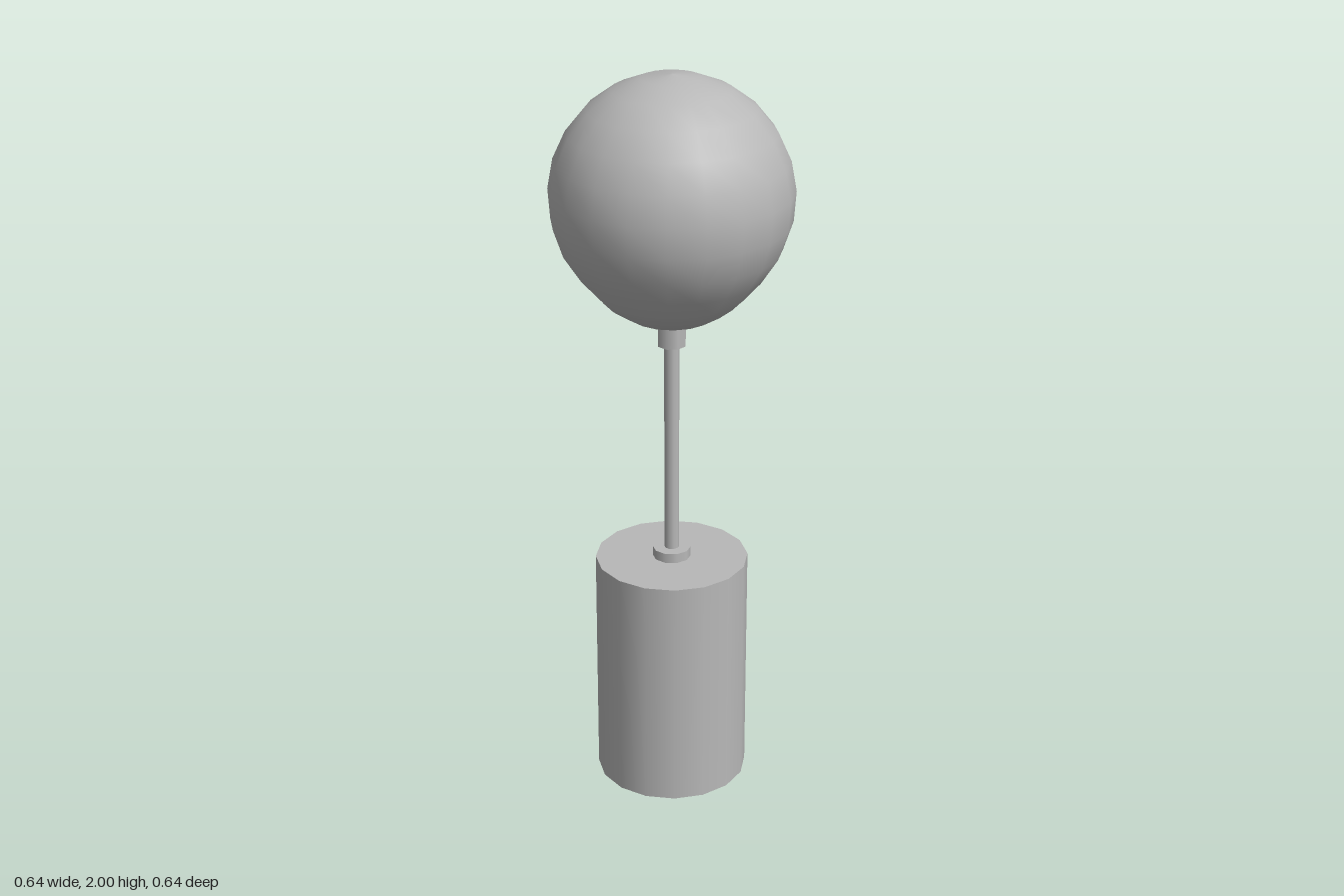
import * as THREE from 'three';

export function createModel() {
  const lamp = new THREE.Group();
  lamp.name = 'tableLamp';
  const grey = new THREE.MeshStandardMaterial({ color: 0xb8b8b8 });
  grey.name = 'plain grey';

  const add = (name, geometry, y = 0) => {
    const mesh = new THREE.Mesh(geometry, grey);
    mesh.name = name;
    mesh.position.y = y;
    lamp.add(mesh);
    return mesh;
  };
  // Upright cylinder between two heights
  const post = (name, radius, y0, y1, sides) =>
    add(name, new THREE.CylinderGeometry(radius, radius, y1 - y0, sides), (y0 + y1) / 2);

  // Heavy base, collar, stem and socket
  post('base', 0.208, 0, 0.655, 16);
  post('collar', 0.052, 0.65, 0.682, 10);
  post('stem', 0.02, 0.67, 1.3, 10);
  post('socket', 0.039, 1.275, 1.335, 8);

  // Globe: a sphere cut off at the rim of the cup
  const radius = 0.318, centre = 1.682, rimY = 1.422;
  const start = Math.asin((rimY - centre) / radius);
  const profile = [];
  for (let i = 0; i <= 10; i++) {
    const a = start + (Math.PI / 2 - start) * (i / 10);
    profile.push(new THREE.Vector2(i === 10 ? 0 : radius * Math.cos(a), centre + radius * Math.sin(a)));
  }
  profile[0].x = 0.195;
  add('globe', new THREE.LatheGeometry(profile, 20));

  // Shallow cup under the globe
  const cup = [[0, 1.334], [0.045, 1.336], [0.11, 1.358], [0.165, 1.392], [0.196, 1.424]];
  add('cup', new THREE.LatheGeometry(cup.map(([x, y]) => new THREE.Vector2(x, y)), 16));

  return lamp;
}
